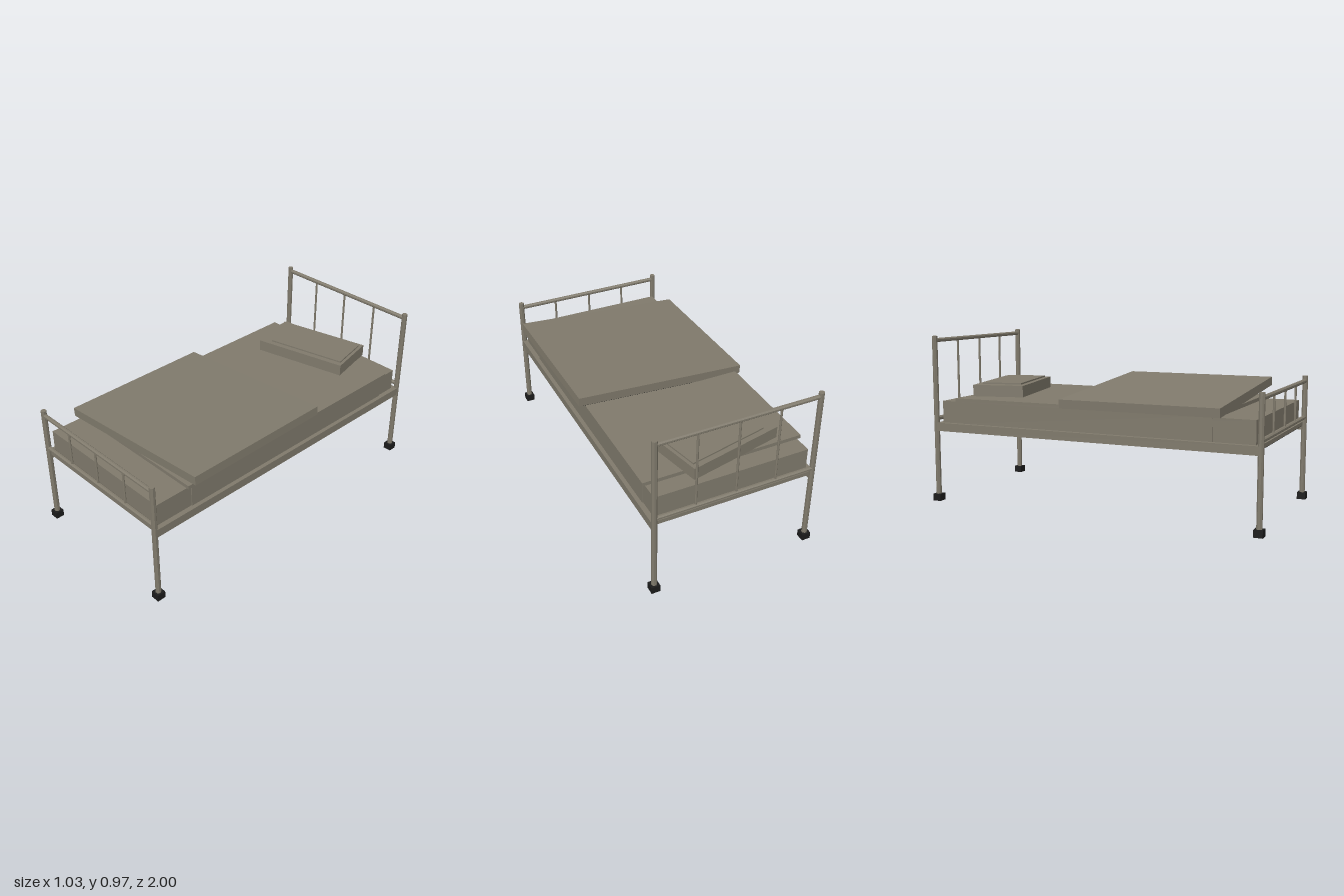
import * as THREE from 'three';

export function createModel() {
  const bed = new THREE.Group();
  bed.name = 'bed';
  const khaki = new THREE.MeshStandardMaterial({ color: 0x807a6c, flatShading: true });
  khaki.name = 'khaki';
  const black = new THREE.MeshStandardMaterial({ color: 0x1b1b1b, flatShading: true });
  black.name = 'black';

  const add = (name, geometry, material, x, y, z, parent = bed) => {
    const mesh = new THREE.Mesh(geometry, material);
    mesh.name = name;
    mesh.position.set(x, y, z);
    parent.add(mesh);
    return mesh;
  };
  // Box given by its limits on each axis
  const box = (name, [x0, x1], [y0, y1], [z0, z1], material = khaki) =>
    add(name, new THREE.BoxGeometry(x1 - x0, y1 - y0, z1 - z0), material,
      (x0 + x1) / 2, (y0 + y1) / 2, (z0 + z1) / 2);
  // Eight-sided tube, flats facing the axes
  const tube = (radius, length) =>
    new THREE.CylinderGeometry(radius, radius, length, 8).rotateY(Math.PI / 8);

  const midX = -0.0175, postX = 0.4625, endZ = 0.975;

  // Head and foot ends: posts, feet, rails and upright bars
  for (const [end, z, height, topRail] of [['head', -endZ, 0.97, 0.945], ['foot', endZ, 0.735, 0.705]]) {
    for (const side of [-1, 1]) {
      const x = midX + side * postX;
      add(end + 'Post', tube(0.016, height - 0.03), khaki, x, (height + 0.03) / 2, z);
      box(end + 'PostFoot', [x - 0.025, x + 0.025], [0, 0.04], [z - 0.025, z + 0.025], black);
    }
    for (const y of [0.49, topRail]) {
      add(end + 'Rail', tube(0.0125, postX * 2), khaki, midX, y, z).rotation.z = Math.PI / 2;
    }
    for (const offset of [-0.2325, 0, 0.2325]) {
      add(end + 'Bar', tube(0.0065, topRail - 0.49), khaki, midX + offset, (topRail + 0.49) / 2, z);
    }
  }

  // Side rails and the bed base with its dark underside
  for (const side of [-1, 1]) {
    const x = midX + side * 0.464;
    box('sideRail', [x - 0.012, x + 0.012], [0.417, 0.465], [-endZ, endZ]);
  }
  box('bedBase', [-0.47, 0.435], [0.442, 0.465], [-0.97, 0.97]);
  box('baseUnderside', [-0.469, 0.434], [0.437, 0.442], [-0.965, 0.965], black);

  // Mattress with a sheet over it
  box('mattress', [-0.465, 0.43], [0.465, 0.592], [-0.94, 0.945]);
  box('sheetDrape', [-0.471, 0.436], [0.466, 0.6], [-0.815, 0.715]);
  box('sheetTop', [-0.483, 0.446], [0.593, 0.614], [-0.84, 0.745]);

  // Stiff folded blanket, lying askew
  const blanket = new THREE.Group();
  blanket.name = 'blanket';
  blanket.position.set(0, 0.655, 0.305);
  blanket.rotation.set(0, 0.01, 0.0675);
  bed.add(blanket);
  add('blanketSlab', new THREE.BoxGeometry(1.02, 0.05, 0.914), khaki, 0, 0, 0, blanket);
  add('blanketPatch', new THREE.BoxGeometry(0.9, 0.003, 0.18), black, 0.04, -0.026, -0.365, blanket);

  // Pillow turned at an angle, with a raised panel on top
  const pillow = new THREE.Group();
  pillow.name = 'pillow';
  pillow.position.set(-0.045, 0.612, -0.715);
  pillow.rotation.y = 0.22;
  bed.add(pillow);
  add('pillowBody', new THREE.BoxGeometry(0.57, 0.069, 0.304), khaki, 0, 0.0345, 0, pillow);
  add('pillowPanel', new THREE.BoxGeometry(0.482, 0.009, 0.24), khaki, 0.026, 0.073, 0, pillow);

  return bed;
}
